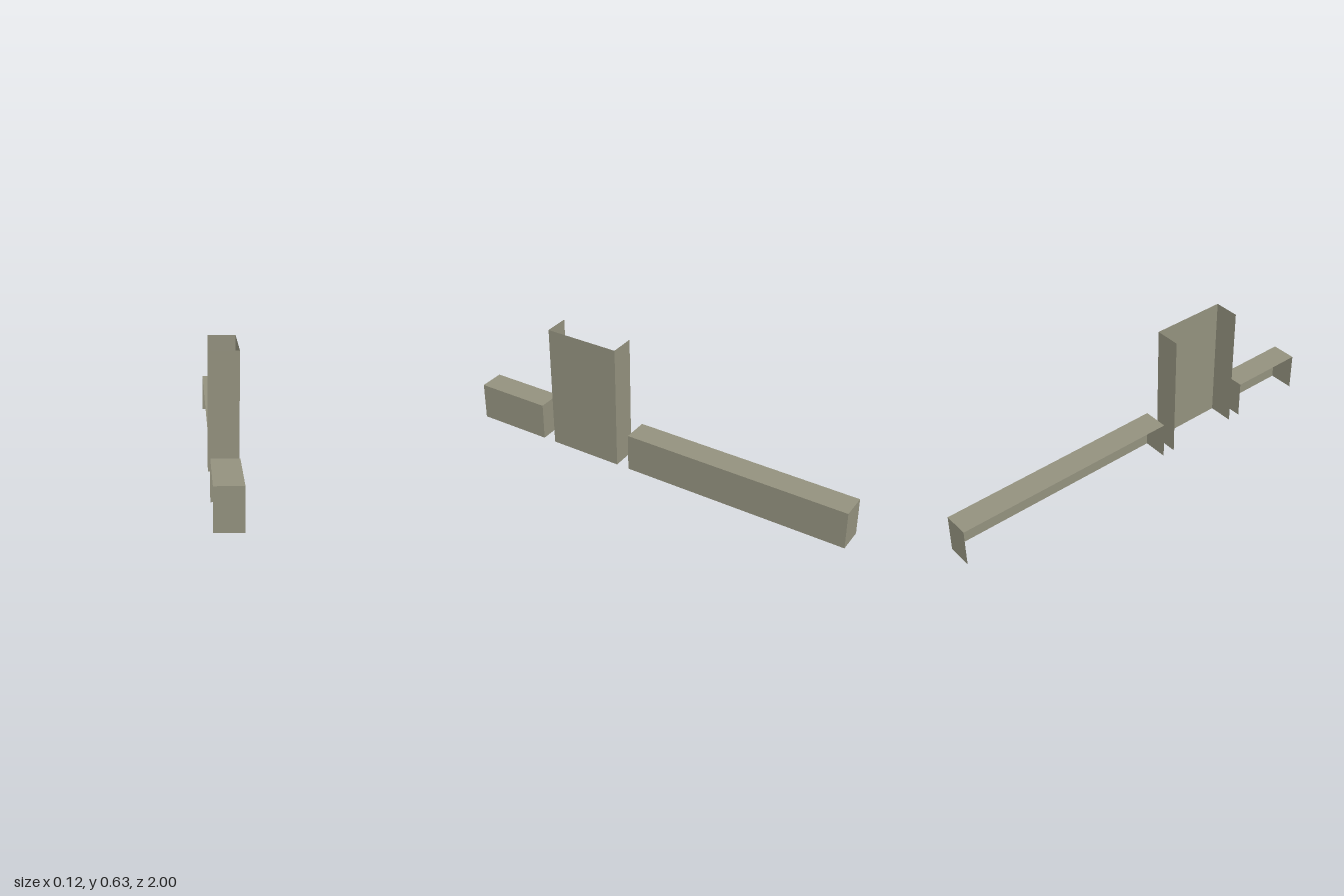
import * as THREE from 'three';

const HALF_WIDTH = 0.062;

const stone = new THREE.MeshStandardMaterial({ color: 0x93917e, side: THREE.DoubleSide });
stone.name = 'greyOliveStone';

// One flat outward-facing panel
function panel(name, width, height, position, rotation) {
  const mesh = new THREE.Mesh(new THREE.PlaneGeometry(width, height), stone);
  mesh.name = name;
  mesh.position.set(...position);
  mesh.rotation.set(...rotation);
  return mesh;
}

// Thin shell, open below and on the -x side, with an optional top
function wallSection(name, zFront, zBack, height, hasTop) {
  const group = new THREE.Group();
  group.name = name;
  const length = zFront - zBack;
  const zMid = (zFront + zBack) / 2;
  const yMid = height / 2;
  const width = HALF_WIDTH * 2;
  const quarter = Math.PI / 2;

  group.add(
    panel('outerWall', length, height, [HALF_WIDTH, yMid, zMid], [0, quarter, 0]),
    panel('frontEnd', width, height, [0, yMid, zFront], [0, 0, 0]),
    panel('backEnd', width, height, [0, yMid, zBack], [0, Math.PI, 0])
  );
  if (hasTop) {
    group.add(panel('top', width, length, [0, height, zMid], [-quarter, 0, 0]));
  }
  return group;
}

export function createModel() {
  const model = new THREE.Group();
  model.name = 'wallSections';
  model.add(
    wallSection('shortLowWall', 1, 0.628, 0.188, true),
    wallSection('tallPillar', 0.563, 0.191, 0.628, false),
    wallSection('longLowWall', 0.126, -1, 0.188, true)
  );
  return model;
}
